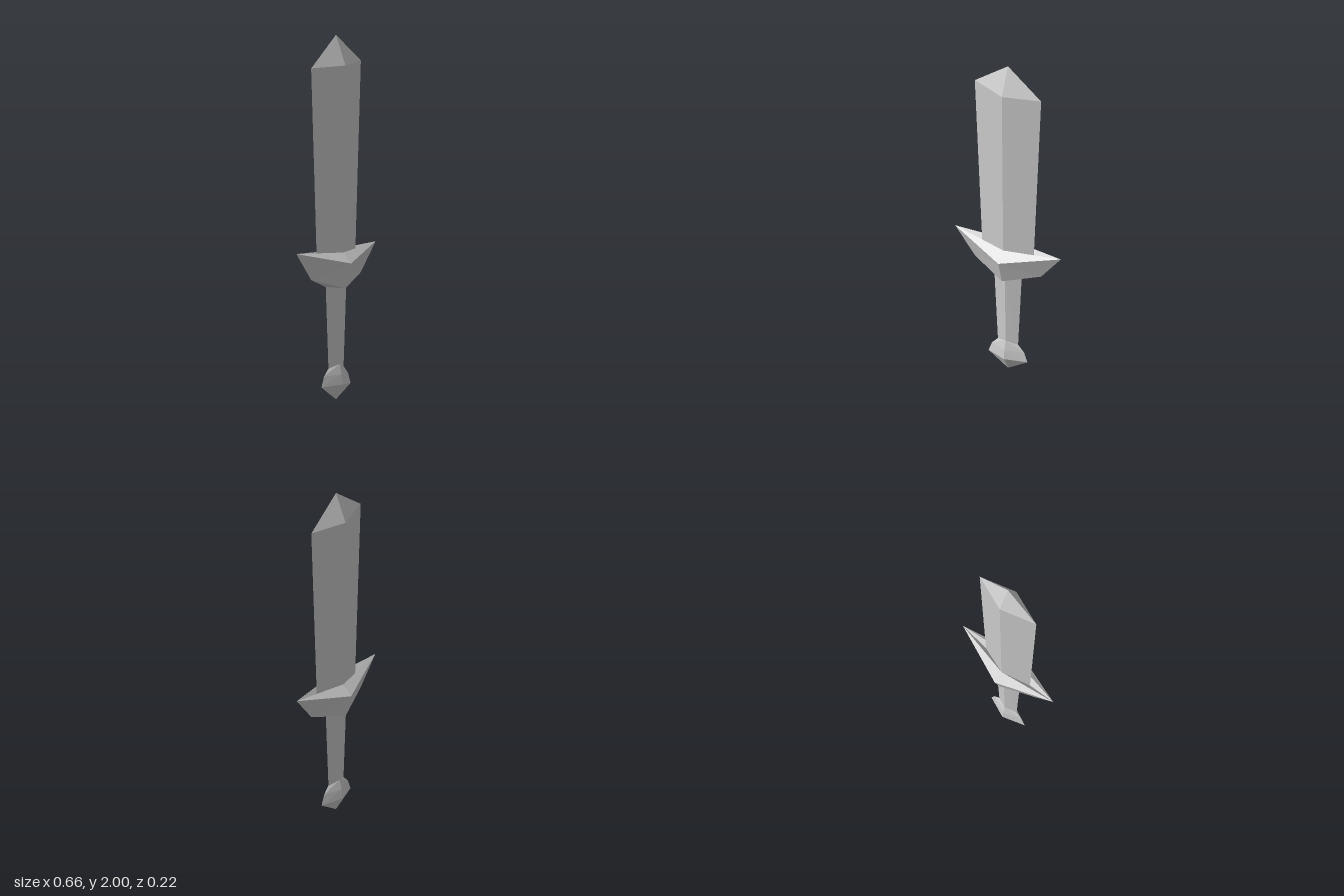
import * as THREE from 'three';

const material = new THREE.MeshStandardMaterial({ color: 0xcccccc, flatShading: true });

// Lofts diamond rings from bottom to top.
// Each ring: [half width x, height of side corners, half depth z, height of front/back corners]
function diamondLoft(name, rings) {
  const corners = rings.map(([x, sideY, z, frontY]) => [
    new THREE.Vector3(x, sideY, 0),
    new THREE.Vector3(0, frontY, -z),
    new THREE.Vector3(-x, sideY, 0),
    new THREE.Vector3(0, frontY, z),
  ]);
  const points = [];
  const tri = (a, b, c) => {
    if (new THREE.Triangle(a, b, c).getArea() > 1e-7) points.push(a, b, c);
  };
  for (let r = 0; r < corners.length - 1; r++) {
    const low = corners[r], high = corners[r + 1];
    for (let i = 0; i < 4; i++) {
      const j = (i + 1) % 4;
      // Diagonals run from the side corners to the front/back corners above
      if (i % 2 === 0) {
        tri(low[i], low[j], high[j]);
        tri(low[i], high[j], high[i]);
      } else {
        tri(low[i], low[j], high[i]);
        tri(low[j], high[j], high[i]);
      }
    }
  }
  const geometry = new THREE.BufferGeometry().setFromPoints(points);
  geometry.computeVertexNormals();
  const mesh = new THREE.Mesh(geometry, material);
  mesh.name = name;
  return mesh;
}

export function createModel() {
  const sword = new THREE.Group();
  sword.name = 'sword';

  // Blade widens upward, then closes to a point
  sword.add(diamondLoft('blade', [
    [0.16, 0.77, 0.053, 0.79],
    [0.207, 1.837, 0.068, 1.837],
    [0, 2, 0, 2],
  ]));

  // Guard with upswept tips, dished toward the blade
  sword.add(diamondLoft('guard', [
    [0.085, 0.625, 0.035, 0.625],
    [0.206, 0.675, 0.068, 0.615],
    [0.33, 0.832, 0.108, 0.755],
    [0.16, 0.785, 0.053, 0.81],
  ]));

  // Grip
  sword.add(diamondLoft('grip', [
    [0.063, 0.175, 0.026, 0.195],
    [0.086, 0.635, 0.036, 0.635],
  ]));

  // Pommel
  sword.add(diamondLoft('pommel', [
    [0, 0, 0, 0],
    [0.121, 0.077, 0.046, 0.085],
    [0.1, 0.135, 0.04, 0.14],
    [0.063, 0.175, 0.026, 0.195],
  ]));

  return sword;
}
